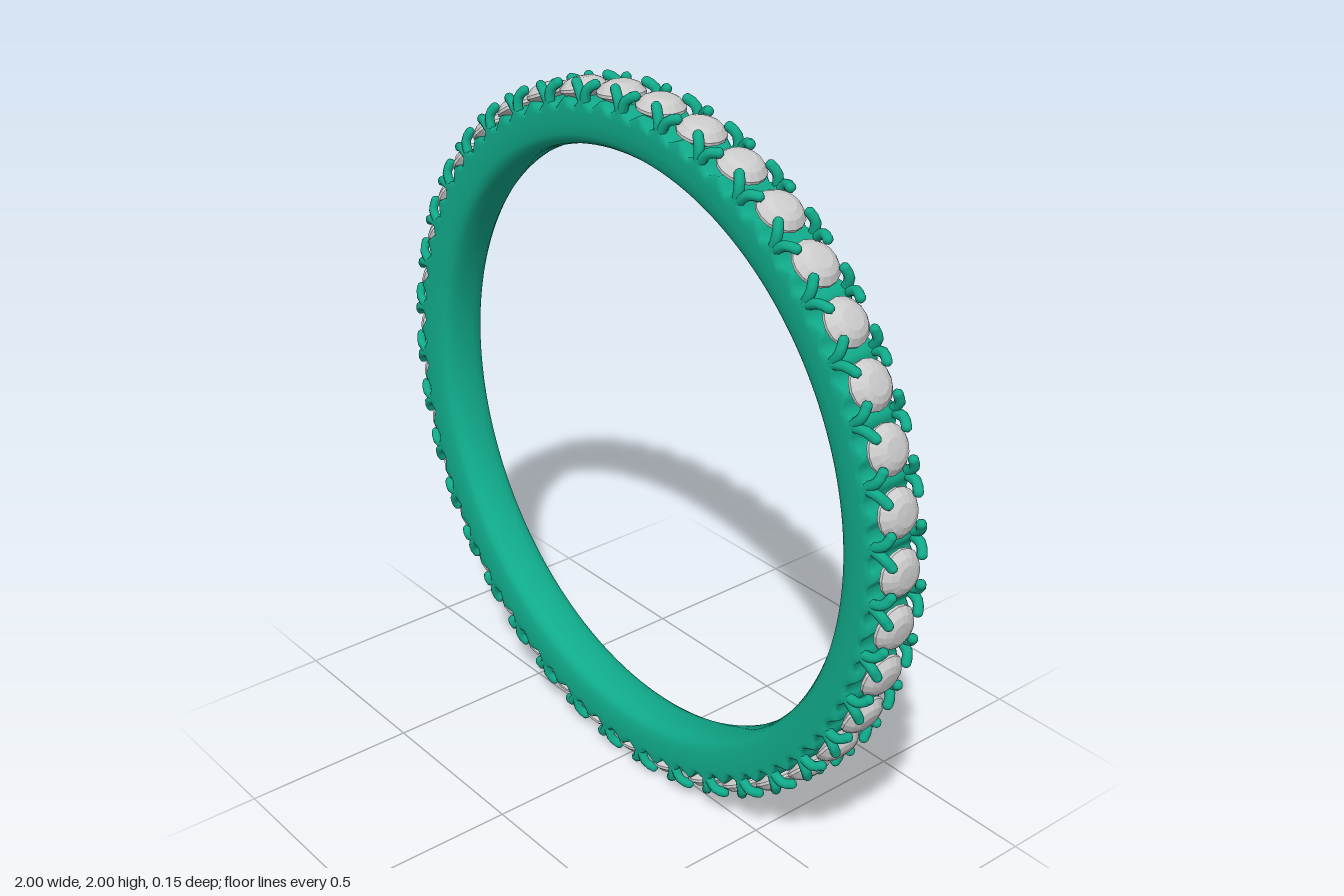
import * as THREE from 'three';
import { mergeVertices, mergeGeometries } from 'three/addons/utils/BufferGeometryUtils.js';

const STONES = 39;
const STEP = (Math.PI * 2) / STONES;

const metal = new THREE.MeshStandardMaterial({ color: 0x10ab8b });
const gem = new THREE.MeshStandardMaterial({ color: 0xcccccc, flatShading: true });

// Comfort-fit band: closed cross-section (radius, z) whose outer edge is scalloped under the stones
function bandGeometry() {
  const half = [
    [0.823, 0], [0.824, 0.025], [0.829, 0.048], [0.839, 0.063], [0.856, 0.071],
    [0.885, 0.075], [0.915, 0.076], [0.934, 0.075], [0.94, 0.069], [0.94, 0.03],
  ];
  const profile = [
    ...half.map(([r, z]) => new THREE.Vector2(r, z)),
    ...half.slice(1).reverse().map(([r, z]) => new THREE.Vector2(r, -z)),
    new THREE.Vector2(0.823, 0),
  ].reverse();
  let g = new THREE.LatheGeometry(profile, STONES * 8);
  g.rotateX(Math.PI / 2);
  const p = g.attributes.position;
  for (let i = 0; i < p.count; i++) {
    const x = p.getX(i), y = p.getY(i), r = Math.hypot(x, y);
    if (r < 0.93) continue;
    // Angle measured from the stone at the bottom
    const a = Math.atan2(y, x) + Math.PI / 2;
    const k = (r + 0.012 * Math.cos(2 * STONES * a)) / r;
    p.setXY(i, x * k, y * k);
  }
  g.deleteAttribute('normal');
  g.deleteAttribute('uv');
  g = mergeVertices(g, 1e-5);
  g.computeVertexNormals();
  return g;
}

// Faceted round stone, its table pointing up +y at the rim of the ring
function stoneGeometry() {
  const pts = [[0, 0.918], [0.064, 0.959], [0.064, 0.967], [0.048, 0.984], [0.03, 0.992], [0, 0.994]];
  return new THREE.LatheGeometry(pts.map(([r, y]) => new THREE.Vector2(r, y)), 16);
}

// Claw that rises from the gap between stones and hooks over the girdle
function prongGeometry(sx, sz) {
  const at = (t, n, z) => new THREE.Vector3(sx * t, n, sz * z);
  const curve = new THREE.CatmullRomCurve3([
    at(0.074, 0.915, 0.061), at(0.069, 0.95, 0.063), at(0.059, 0.974, 0.06), at(0.04, 0.986, 0.05),
  ]);
  const tip = new THREE.SphereGeometry(0.0135, 8, 6);
  const end = curve.getPoint(1);
  tip.translate(end.x, end.y, end.z);
  return mergeGeometries([new THREE.TubeGeometry(curve, 6, 0.0135, 8), tip]);
}

export function createModel() {
  const ring = new THREE.Group();
  ring.name = 'ring';
  ring.position.y = 1;

  const band = new THREE.Mesh(bandGeometry(), metal);
  band.name = 'band';
  ring.add(band);

  // Four claws around each stone
  const claws = [];
  for (const sx of [-1, 1]) for (const sz of [-1, 1]) claws.push(prongGeometry(sx, sz));
  const prongGeo = mergeGeometries(claws);
  const stoneGeo = stoneGeometry();

  // Repeat the setting around the rim, starting at the bottom
  for (let i = 0; i < STONES; i++) {
    const setting = new THREE.Group();
    setting.name = 'setting';
    const stone = new THREE.Mesh(stoneGeo, gem);
    stone.name = 'stone';
    const prongs = new THREE.Mesh(prongGeo, metal);
    prongs.name = 'prongs';
    setting.add(stone, prongs);
    setting.rotation.z = Math.PI + i * STEP;
    ring.add(setting);
  }

  const model = new THREE.Group();
  model.name = 'eternityRing';
  model.add(ring);
  return model;
}
